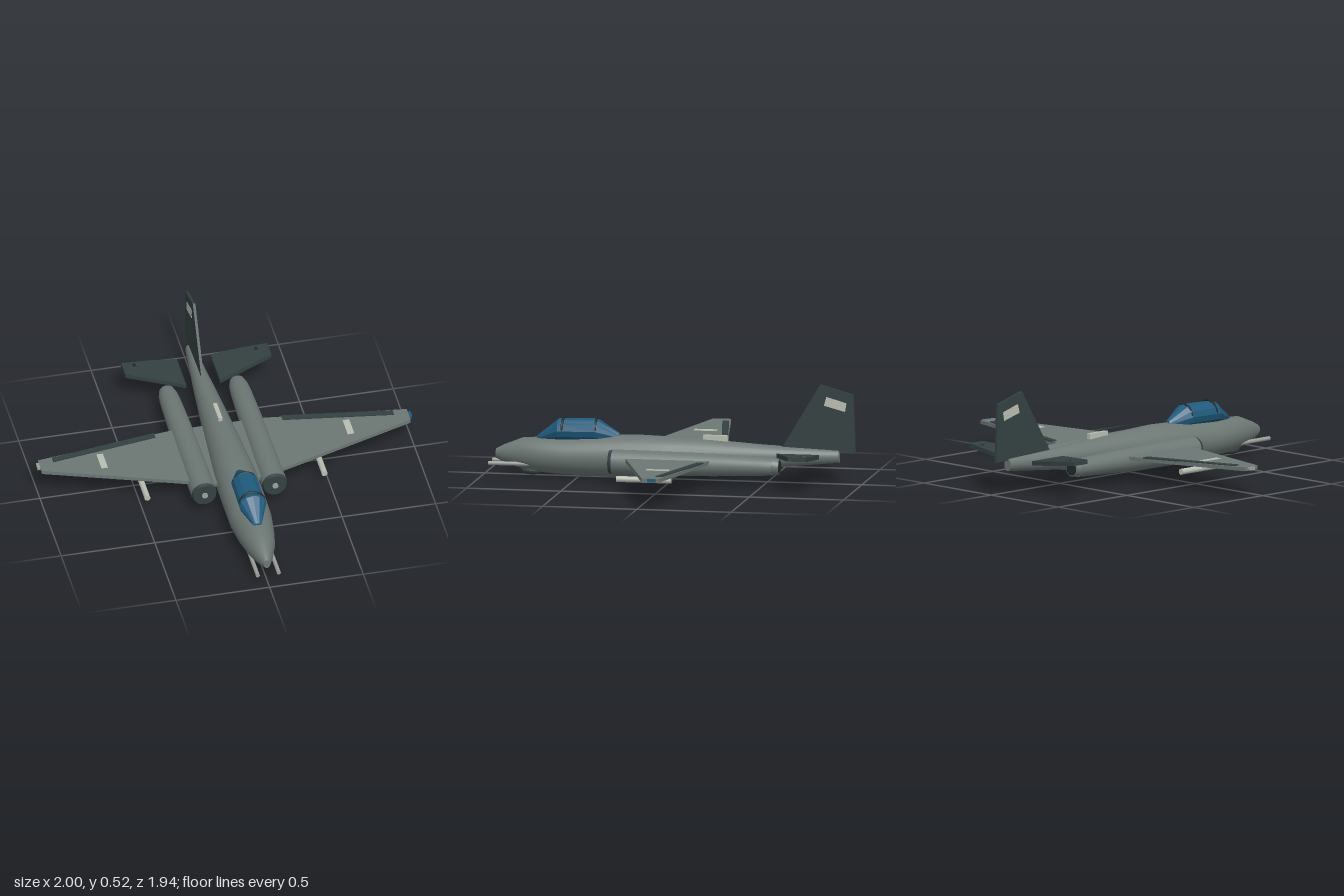
import * as THREE from 'three';

const mat = (name, color, side = THREE.FrontSide) => {
  const m = new THREE.MeshStandardMaterial({ color, side });
  m.name = name;
  return m;
};

export function createModel() {
  const body = mat('bodyGrey', 0x6c7774);
  const dark = mat('darkGreenGrey', 0x344141);
  const glass = mat('canopyBlue', 0x1f5a7c);
  const light = mat('paleMarking', 0xb9beb3);
  const metal = mat('metalGrey', 0x9c9e9b);
  const black = mat('darkTrim', 0x222b2b);
  const model = new THREE.Group();
  model.name = 'jetAircraft';

  const add = (name, geo, material, x = 0, y = 0, z = 0) => {
    const m = new THREE.Mesh(geo, material);
    m.name = name;
    m.position.set(x, y, z);
    model.add(m);
    return m;
  };

  // Closed loft through elliptical rings [z, halfWidth, bottomY, topY], nose first
  const loft = (rings, sides, flat = false) => {
    const pos = [], idx = [];
    const ring = ([z, w, b, t]) => {
      for (let j = 0; j < sides; j++) {
        const a = (j / sides) * Math.PI * 2;
        pos.push(w * Math.cos(a), (b + t) / 2 + ((t - b) / 2) * Math.sin(a), z);
      }
    };
    rings.forEach(ring);
    for (let i = 0; i < rings.length - 1; i++) {
      for (let j = 0; j < sides; j++) {
        const k = (j + 1) % sides, a = i * sides, c = a + sides;
        idx.push(a + j, c + j, a + k, a + k, c + j, c + k);
      }
    }
    for (const end of [0, rings.length - 1]) {
      const s = pos.length / 3;
      ring(rings[end]);
      for (let j = 1; j < sides - 1; j++) {
        if (end === 0) idx.push(s, s + j, s + j + 1);
        else idx.push(s, s + j + 1, s + j);
      }
    }
    let g = new THREE.BufferGeometry();
    g.setAttribute('position', new THREE.Float32BufferAttribute(pos, 3));
    g.setIndex(idx);
    if (flat) g = g.toNonIndexed();
    g.computeVertexNormals();
    return g;
  };

  // Horizontal plate from [x, z] points, sheared upward away from the centre line
  const plate = (points, side, y, thickness, rise) => {
    const shape = new THREE.Shape(points.map(([x, z]) => new THREE.Vector2(x * side, -z)));
    const g = new THREE.ExtrudeGeometry(shape, { depth: thickness, bevelEnabled: false });
    g.rotateX(-Math.PI / 2);
    const p = g.attributes.position;
    for (let i = 0; i < p.count; i++) p.setY(i, p.getY(i) + y + rise * Math.abs(p.getX(i)));
    g.computeVertexNormals();
    return g;
  };

  // Upright plate from [z, y] points, centred on x = 0
  const upright = (points, thickness) => {
    const shape = new THREE.Shape(points.map(([z, y]) => new THREE.Vector2(z, y)));
    const g = new THREE.ExtrudeGeometry(shape, { depth: thickness, bevelEnabled: false });
    return g.rotateY(-Math.PI / 2).translate(thickness / 2, 0, 0);
  };

  const rod = (r, length, sides = 12) =>
    new THREE.CylinderGeometry(r, r, length, sides).rotateX(Math.PI / 2);

  // Fuselage
  add('fuselage', loft([
    [0.94, 0.018, 0.09, 0.14], [0.9, 0.038, 0.07, 0.162], [0.8, 0.075, 0.04, 0.202],
    [0.68, 0.097, 0.022, 0.21], [0.56, 0.111, 0.015, 0.214], [0.38, 0.112, 0.011, 0.228],
    [0.18, 0.11, 0.01, 0.235], [0, 0.097, 0.022, 0.23], [-0.2, 0.082, 0.04, 0.222],
    [-0.56, 0.054, 0.088, 0.198], [-0.88, 0.024, 0.12, 0.186],
  ], 28), body);

  // Canopy and its frames
  add('canopy', loft([
    [0.72, 0.02, 0.19, 0.217], [0.605, 0.072, 0.19, 0.31],
    [0.405, 0.07, 0.19, 0.317], [0.285, 0.02, 0.195, 0.242],
  ], 12, true), glass);
  for (const [z, r] of [[0.58, 0.065], [0.405, 0.062]]) {
    add('canopyFrame', new THREE.TorusGeometry(r, 0.007, 6, 24, Math.PI), black, 0, 0.251, z);
  }

  // Chin fairing and spine aerial
  add('chinFairing', new THREE.SphereGeometry(1, 16, 10).scale(0.028, 0.022, 0.055), dark, 0, 0.03, 0.75);
  add('spineAerial', new THREE.BoxGeometry(0.022, 0.03, 0.13), light, 0, 0.23, -0.225);

  // Tail fin with a pale marking on both faces
  add('tailFin', upright([[-0.57, 0.18], [-0.78, 0.53], [-0.957, 0.48], [-0.967, 0.175]], 0.014), dark);
  add('finMarking', upright([[-0.813, 0.467], [-0.92, 0.436], [-0.912, 0.39], [-0.8, 0.42]], 0.018), light);

  for (const s of [1, -1]) {
    // Wing with dark flap strip and pale marking
    add('wing', plate([[0.05, 0.27], [0.25, 0.205], [0.985, -0.022], [0.985, -0.115], [0.25, -0.235], [0.05, -0.245]],
      s, 0.12, 0.02, 0.03), body);
    add('wingFlap', plate([[0.34, -0.226], [0.34, -0.19], [0.91, -0.083], [0.91, -0.118]], s, 0.138, 0.007, 0.03), dark);
    add('wingMarking', plate([[0.64, -0.105], [0.64, 0.015], [0.675, 0.015], [0.675, -0.105]], s, 0.138, 0.005, 0.03), light);
    add('wingTipLight', new THREE.BoxGeometry(0.022, 0.016, 0.042), s > 0 ? glass : metal, s * 0.989, 0.16, -0.075);

    // Rod below the wing
    add('underwingRod', rod(0.016, 0.29), light, s * 0.473, 0.077, 0.065);

    // Engine nacelle, intake and exhaust
    const x = s * 0.188;
    add('nacelle', loft([
      [0.285, 0.067, 0.053, 0.184], [0.1, 0.067, 0.053, 0.183],
      [-0.25, 0.062, 0.06, 0.178], [-0.5, 0.055, 0.07, 0.17], [-0.565, 0.05, 0.074, 0.166],
    ], 24), body, x);
    add('intakeLip', loft([[0.303, 0.06, 0.06, 0.178], [0.285, 0.067, 0.053, 0.184]], 24), dark, x);
    add('intakeHub', rod(0.016, 0.02), metal, x, 0.119, 0.3);
    add('exhaustRing', loft([[-0.565, 0.047, 0.077, 0.165], [-0.598, 0.041, 0.08, 0.161]], 24), body, x);
    add('exhaustOpening', rod(0.035, 0.006, 20), black, x, 0.12, -0.598);

    // Tailplane with a small round fitting
    add('tailplane', plate([[0.09, -0.565], [0.39, -0.68], [0.39, -0.777], [0.23, -0.79], [0.09, -0.79]],
      s, 0.14, 0.023, 0.11), dark);
    add('tailplaneFitting', new THREE.SphereGeometry(1, 12, 8).scale(0.009, 0.006, 0.02), black, s * 0.325, 0.199, -0.75);

    // Nose gun
    add('noseGun', rod(0.011, 0.22), metal, s * 0.056, 0.071, 0.86);
  }
  return model;
}
